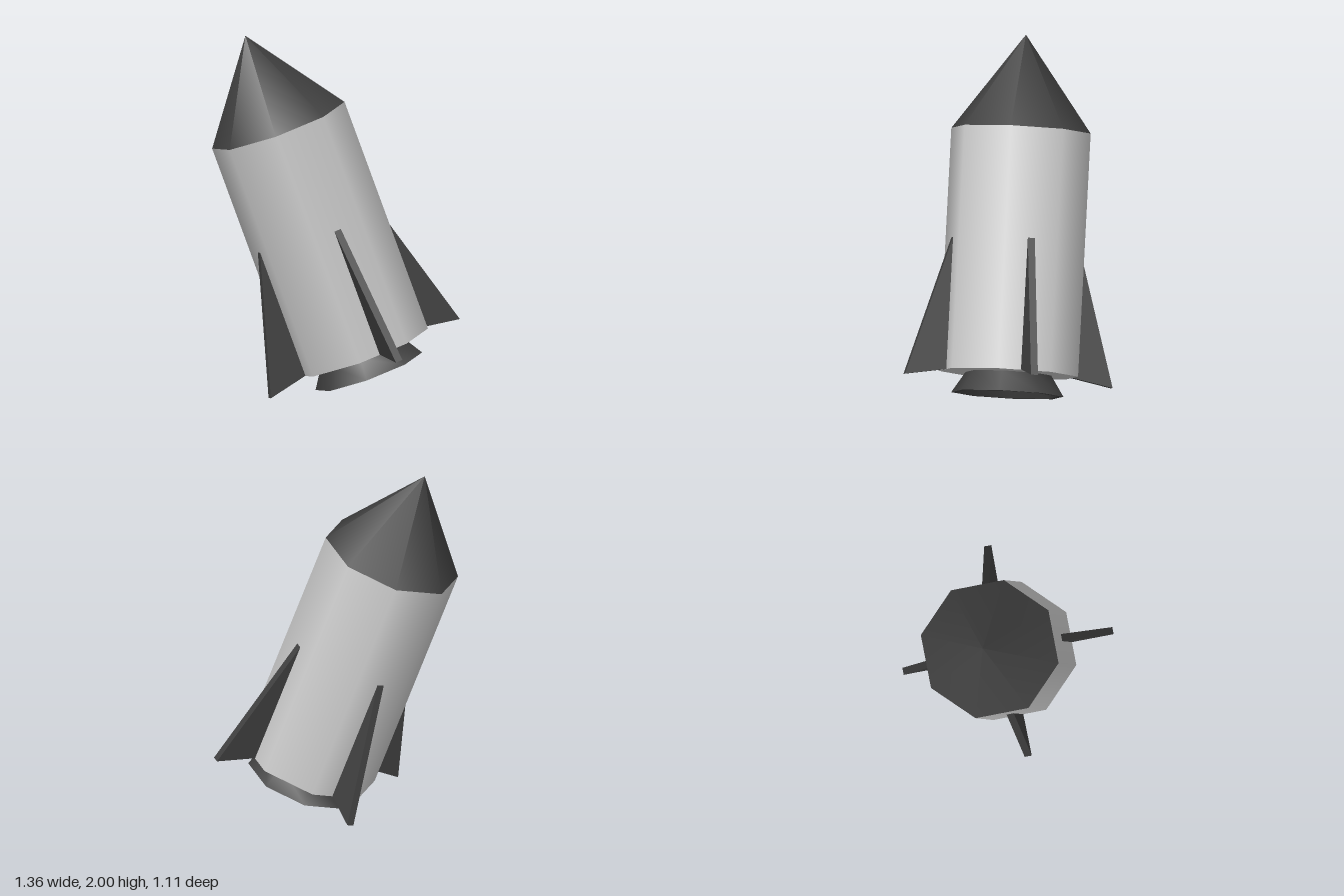
import * as THREE from 'three';
import { toCreasedNormals } from 'three/addons/utils/BufferGeometryUtils.js';

const SIDES = 8;
const RADIUS = 0.39;
const LENGTH = 1.35;
const NOSE = 0.533;
const FIN_THICKNESS = 0.04;

export function createModel() {
  const model = new THREE.Group();
  model.name = 'rocket';

  const hull = new THREE.MeshStandardMaterial({ color: 0xcccccc });
  const dark = new THREE.MeshStandardMaterial({ color: 0x404040 });

  // Everything is built upright from the base of the body, then tilted
  const rocket = new THREE.Group();
  rocket.name = 'tiltedRocket';
  rocket.position.set(0.147, 0.231, 0);
  rocket.rotation.z = THREE.MathUtils.degToRad(20);
  model.add(rocket);

  const add = (name, geometry, material, y = 0) => {
    const mesh = new THREE.Mesh(geometry, material);
    mesh.name = name;
    mesh.position.y = y;
    rocket.add(mesh);
    return mesh;
  };

  // Eight-sided body with smooth sides
  add('body', new THREE.CylinderGeometry(RADIUS, RADIUS, LENGTH, SIDES), hull, LENGTH / 2);

  // Nose cone
  add('noseCone', new THREE.ConeGeometry(RADIUS, NOSE, SIDES), dark, LENGTH + NOSE / 2);

  // Hollow, flared nozzle: floor, inner wall, rim, outer wall
  const profile = [[0, -0.01], [0.215, -0.01], [0.287, -0.115], [0.314, -0.115], [0.24, 0]]
    .map(([r, y]) => new THREE.Vector2(r, y));
  add('nozzle', toCreasedNormals(new THREE.LatheGeometry(profile, SIDES), 0.85), dark);

  // Triangular fins on every second face of the body
  const outline = new THREE.Shape([
    new THREE.Vector2(0.34, 0.005),
    new THREE.Vector2(0.593, -0.04),
    new THREE.Vector2(0.36, 0.735),
    new THREE.Vector2(0.34, 0.735),
  ]);
  const finGeometry = new THREE.ExtrudeGeometry(outline, { depth: FIN_THICKNESS, bevelEnabled: false });
  finGeometry.translate(0, 0, -FIN_THICKNESS / 2);
  for (let i = 0; i < 4; i++) {
    add(`fin${i + 1}`, finGeometry, dark).rotation.y = Math.PI / 8 + (i * Math.PI) / 2;
  }

  return model;
}
